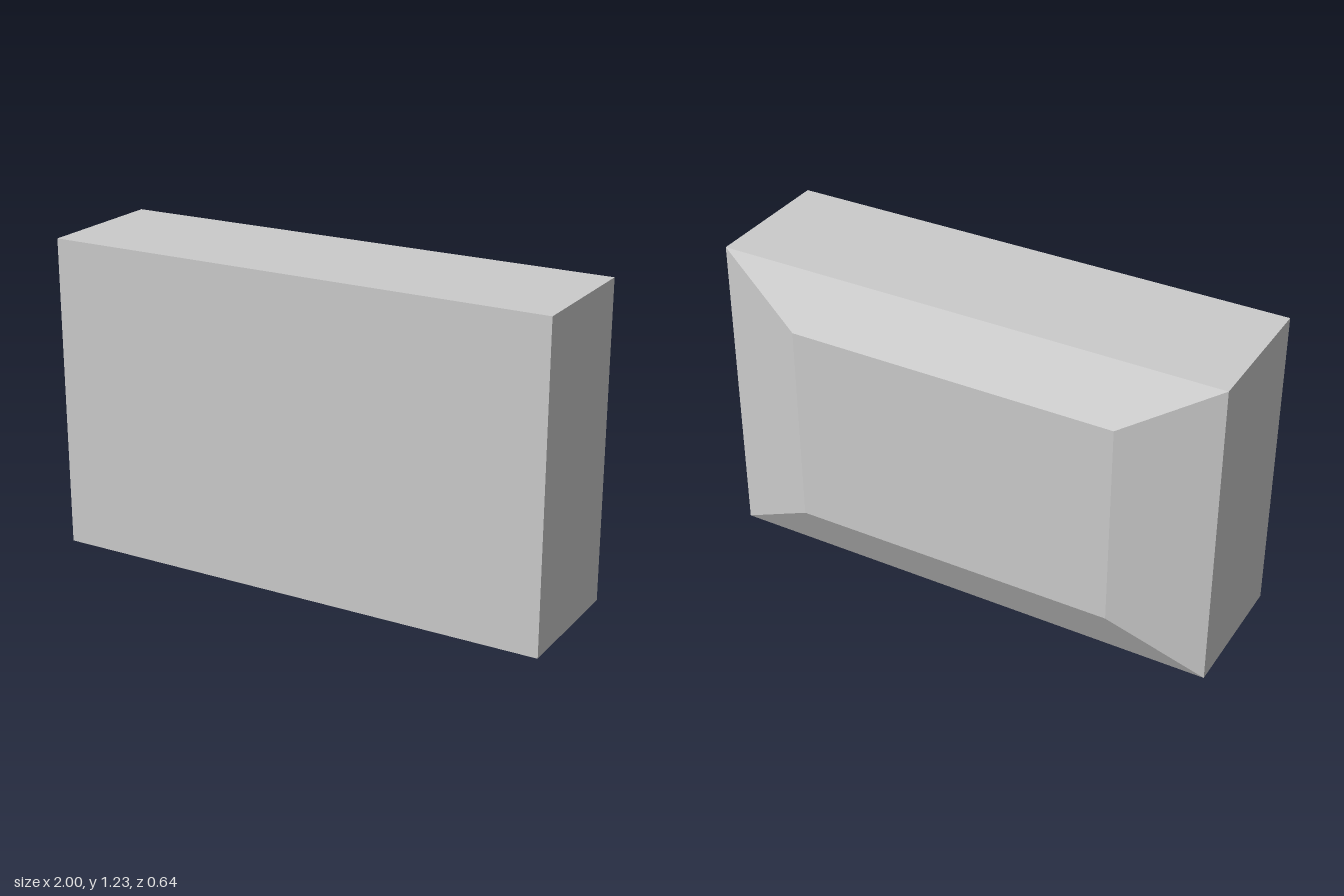
import * as THREE from 'three';

const WIDTH = 2, HEIGHT = 1.23;
const FRONT_Z = 0.32, RIM_Z = -0.215, BACK_Z = -0.32;
const PANEL_WIDTH = 1.294, PANEL_HEIGHT = 0.81;

export function createModel() {
  const group = new THREE.Group();
  group.name = 'bevelledBox';

  // Box with one extra ring along its depth: front, rim and back
  const box = new THREE.BoxGeometry(WIDTH, HEIGHT, 2, 1, 1, 2);
  const pos = box.attributes.position;
  for (let i = 0; i < pos.count; i++) {
    const ring = Math.round(pos.getZ(i));
    pos.setZ(i, ring === 1 ? FRONT_Z : ring === 0 ? RIM_Z : BACK_Z);
    // The back ring shrinks to the raised panel, giving four sloped sides
    if (ring === -1) {
      pos.setX(i, pos.getX(i) * PANEL_WIDTH / WIDTH);
      pos.setY(i, pos.getY(i) * PANEL_HEIGHT / HEIGHT);
    }
  }
  const geometry = box.toNonIndexed();
  geometry.computeVertexNormals();
  geometry.translate(0, HEIGHT / 2, 0);

  const material = new THREE.MeshStandardMaterial({ color: 0xcccccc, flatShading: true });
  const body = new THREE.Mesh(geometry, material);
  body.name = 'body';
  group.add(body);
  return group;
}
